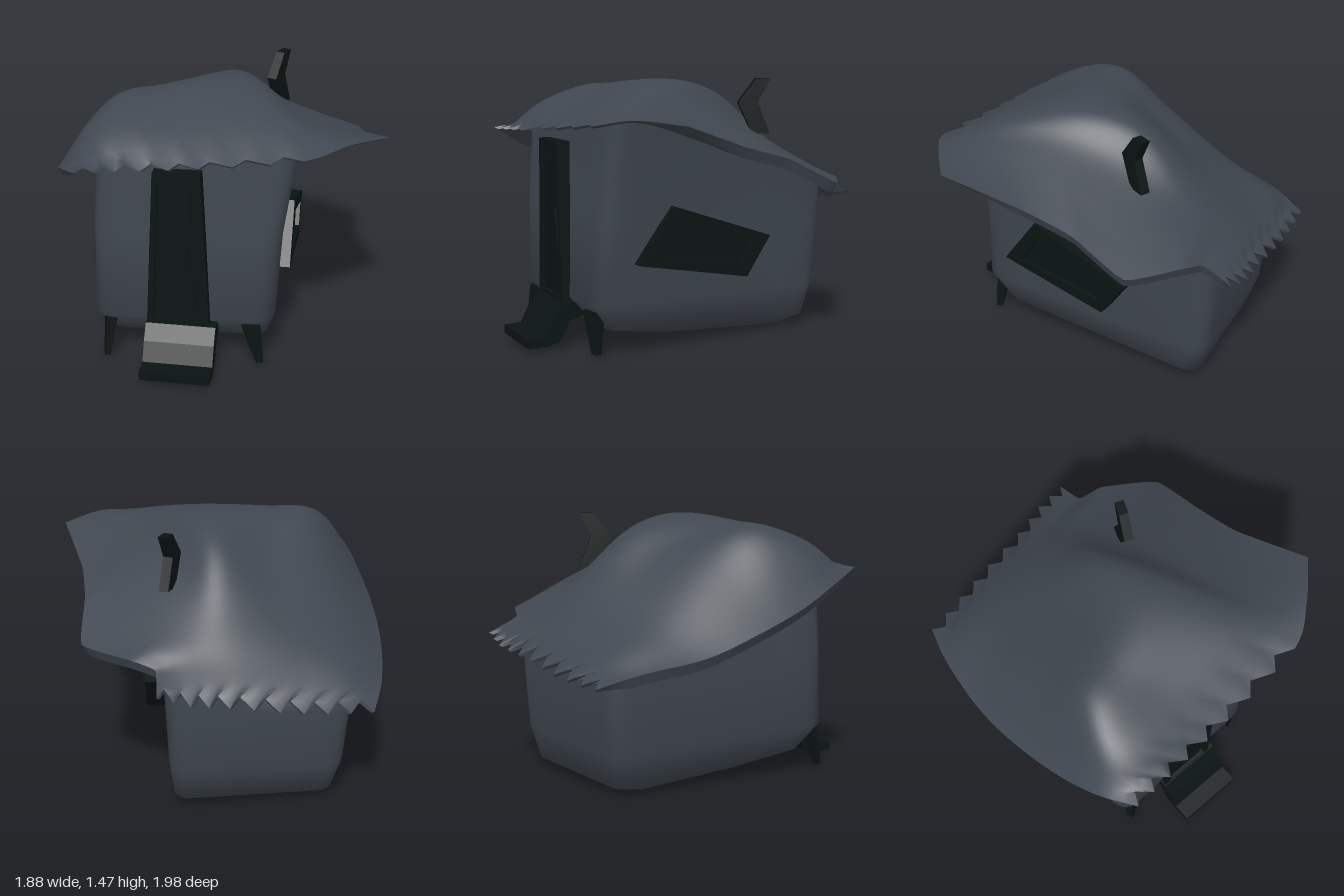
import * as THREE from 'three';
import { toCreasedNormals } from 'three/addons/utils/BufferGeometryUtils.js';

const V = (x, y, z) => new THREE.Vector3(x, y, z);
const slate = new THREE.MeshStandardMaterial({ color: 0x404750 });
const dark = new THREE.MeshStandardMaterial({ color: 0x0b1413 });

function mesh(name, geometry, material) {
  const m = new THREE.Mesh(geometry, material);
  m.name = name;
  return m;
}

function build(points, index, crease) {
  const g = new THREE.BufferGeometry().setFromPoints(points);
  g.setIndex(index);
  return toCreasedNormals(g, crease);
}

// Capped skin over rings that run counter-clockwise seen from above, bottom to top
function loft(rings, crease) {
  const n = rings[0].length, pts = rings.flat(), idx = [];
  const quad = (a, b, c, d) => idx.push(a, b, c, a, c, d);
  for (let r = 0; r < rings.length - 1; r++)
    for (let i = 0; i < n; i++) {
      const j = (i + 1) % n;
      quad(r * n + i, r * n + j, (r + 1) * n + j, (r + 1) * n + i);
    }
  [0, rings.length - 1].forEach((r, top) => {
    const c = pts.length;
    pts.push(rings[r].reduce((s, p) => s.add(p), V(0, 0, 0)).divideScalar(n));
    for (let i = 0; i < n; i++) {
      const a = r * n + i, b = r * n + (i + 1) % n;
      if (top) idx.push(c, a, b); else idx.push(c, b, a);
    }
  });
  return build(pts, idx, crease);
}

// Four-sided bar through a list of [x, y, z, halfX, halfZ]
const bar = (stations) => loft(stations.map(([x, y, z, a, b]) =>
  [V(x - a, y, z + b), V(x + a, y, z + b), V(x + a, y, z - b), V(x - a, y, z - b)]), 0.4);

// Roof sections from front eave to back eave, each left to right
const roofRows = [
  [[-.91, 1.17, .61], [-.62, 1.19, .72], [-.25, 1.22, .85], [.2, 1.27, .985], [.45, 1.31, .94], [.71, 1.29, .84]],
  [[-.94, 1.1, .37], [-.72, 1.32, .4], [-.32, 1.36, .48], [.13, 1.4, .58], [.36, 1.32, .6], [.745, 1.15, .4]],
  [[-.91, .98, .1], [-.62, 1.36, .12], [-.34, 1.43, .16], [.12, 1.46, .2], [.36, 1.3, .22], [.82, 1.07, .12]],
  [[-.83, .86, -.22], [-.5, 1.2, -.15], [-.15, 1.28, -.15], [.15, 1.36, -.15], [.4, 1.18, -.13], [.935, .92, -.17]],
  [[-.72, .76, -.5], [-.45, .93, -.5], [-.12, 1.01, -.5], [.2, 1.06, -.47], [.45, 1, -.45], [.76, .91, -.45]],
  [[-.55, .7, -.8], [-.35, .78, -.78], [-.08, .83, -.72], [.22, .87, -.66], [.45, .88, -.6], [.655, .87, -.54]],
  [[-.4, .63, -.99], [-.15, .64, -.94], [.1, .67, -.88], [.35, .71, -.81], [.55, .74, -.77], [.71, .79, -.7]],
];
const NU = 40, NV = 30;

function roofPoints() {
  const curve = (pts, tension) => new THREE.CatmullRomCurve3(pts, false, 'catmullrom', tension);
  const sections = roofRows.map(r => curve(r.map(p => V(...p)), .5));
  const grid = Array.from({ length: NV + 1 }, () => []);
  for (let u = 0; u <= NU; u++) {
    // the right-hand eave is more angular than the rest
    const along = curve(sections.map(c => c.getPoint(u / NU)), u > NU - 4 ? .2 : .5);
    for (let v = 0; v <= NV; v++) grid[v].push(along.getPoint(v / NV));
    // ragged thatch teeth on the front and back eaves, fading into the roof
    const front = u <= 24 ? [0, 1, .5][u % 3] : 0;
    const back = 1 - Math.abs((u % 4) - 2) / 2;
    [1, .6, .25].forEach((fade, k) => {
      grid[k][u].add(V(.02, .01, -.06).multiplyScalar(front * fade));
      grid[NV - k][u].add(V(-.02, .04, .07).multiplyScalar(back * fade));
    });
  }
  return grid.flat();
}

function roofGeometry(top) {
  // thin at the ragged ends, thicker between them
  const under = top.map((p, i) => {
    const v = Math.floor(i / (NU + 1));
    return V(p.x * .97, p.y - .012 - .045 * Math.min(1, v / 4, (NV - v) / 4), p.z * .985);
  });
  const idx = [], N = top.length, at = (u, v) => v * (NU + 1) + u;
  const quad = (a, b, c, d) => idx.push(a, b, c, a, c, d);
  const rim = (a, b) => quad(a + N, b + N, b, a);
  for (let v = 0; v < NV; v++) {
    for (let u = 0; u < NU; u++) {
      const a = at(u, v), b = at(u + 1, v), c = at(u + 1, v + 1), d = at(u, v + 1);
      quad(a, b, c, d);
      quad(d + N, c + N, b + N, a + N);
    }
    rim(at(NU, v), at(NU, v + 1));
    rim(at(0, v + 1), at(0, v));
  }
  for (let u = 0; u < NU; u++) {
    rim(at(u, 0), at(u + 1, 0));
    rim(at(u + 1, NV), at(u, NV));
  }
  return build([...top, ...under], idx, 0.9);
}

// Four-cornered ring with rounded corners and straight, subdivided sides
function roundedRing(corners, r = .1) {
  const c = corners.map(p => V(...p)), ring = [];
  c.forEach((p, i) => {
    const prev = c[(i + 3) % 4], next = c[(i + 1) % 4];
    const bend = new THREE.QuadraticBezierCurve3(p.clone().lerp(prev, r), p, p.clone().lerp(next, r));
    ring.push(...bend.getPoints(5));
    for (let k = 1; k < 8; k++) ring.push(p.clone().lerp(next, r + (1 - 2 * r) * k / 8));
  });
  return ring;
}

function bodyGeometry(roof) {
  // corners: front left, front right, back right, back left as seen from the front
  const rings = [
    [[-.5, .05, .12], [.12, .06, .36], [.44, .01, -.4], [-.28, 0, -.56]],
    [[-.71, .13, .41], [.11, .14, .73], [.55, .06, -.5], [-.32, .04, -.72]],
    [[-.81, .27, .49], [.11, .29, .85], [.59, .25, -.55], [-.35, .22, -.79]],
    [[-.8, .75, .49], [.15, .75, .83], [.61, .6, -.57], [-.37, .58, -.83]],
    [[-.77, 1, .48], [.24, 1, .85], [.63, 1, -.56], [-.37, 1, -.83]],
  ].map(c => roundedRing(c));
  // the wall tops follow the roof
  for (const p of rings.at(-1)) {
    let best = Infinity, y = 0;
    for (const q of roof) {
      const d = (q.x - p.x) ** 2 + (q.z - p.z) ** 2;
      if (d < best) { best = d; y = q.y; }
    }
    p.y = y - .045;
  }
  return loft(rings, 1.2);
}

const outline = (pts) => pts.map(p => new THREE.Vector2(...p));
function slab(pts, depth, z, hole) {
  const shape = new THREE.Shape(outline(pts));
  if (hole) shape.holes.push(new THREE.Path(outline(hole)));
  return new THREE.ExtrudeGeometry(shape, { depth, bevelEnabled: false }).translate(0, 0, z);
}

// Frame with a recessed panel, lying on a wall
function framed(name, outer, inner) {
  const g = new THREE.Group();
  g.name = name;
  g.add(mesh(name + 'Frame', slab(outer, .12, -.06, inner), dark));
  g.add(mesh(name + 'Panel', slab(inner, .09, -.055), dark));
  return g;
}

export function createModel() {
  const hut = new THREE.Group();
  hut.name = 'hut';
  const roof = roofPoints();
  hut.add(mesh('roof', roofGeometry(roof), slate), mesh('walls', bodyGeometry(roof), slate));

  // Door, tapering upwards, with two raised boards
  const door = framed('door',
    [[-.15, .25], [.19, .25], [.145, 1.14], [-.105, 1.14]],
    [[-.115, .28], [.155, .28], [.115, 1.1], [-.075, 1.1]]);
  door.add(mesh('upperBoard', slab([[-.06, .8], [.1, .8], [.085, 1.06], [-.045, 1.06]], .012, .033), dark));
  door.add(mesh('lowerBoard', slab([[-.09, .31], [.13, .31], [.065, .76], [-.025, .76]], .012, .033), dark));
  door.position.set(-.38, 0, .635);
  door.rotation.y = -.4;

  // Doorstep: a bent plank reaching down to the ground
  const step = slab([[.275, .03], [.275, .08], [.175, .08], [.125, .18], [.065, .26], [-.05, .26],
    [-.05, .18], [.03, .16], [.09, .05], [.16, .03]], .38, -.19);
  step.rotateY(-Math.PI / 2).translate(.035, 0, 0);
  door.add(mesh('doorstep', step, dark));
  hut.add(door);

  // Slanted window on the side wall
  const win = framed('window',
    [[-.418, .51], [.255, .38], [.405, .6], [-.198, .81]],
    [[-.3, .53], [.22, .455], [.29, .58], [-.17, .73]]);
  win.position.set(.35, 0, .26);
  win.rotation.y = 1.18;
  hut.add(win);

  // Flat, bent chimney set diagonally
  const chimney = mesh('chimney', bar([
    [.04, 1.16, 0, .05, .028], [-.035, 1.335, 0, .055, .028], [.05, 1.465, 0, .04, .026]]), dark);
  chimney.position.set(.41, 0, -.13);
  chimney.rotation.y = Math.PI / 4;
  hut.add(chimney);

  // Front feet
  hut.add(mesh('frontFoot', bar([[-.745, .02, .51, .015, .018], [-.71, .24, .48, .03, .03]]), dark));
  hut.add(mesh('frontFoot', bar([[.045, .02, .79, .02, .018], [0, .25, .76, .05, .035]]), dark));
  return hut;
}
